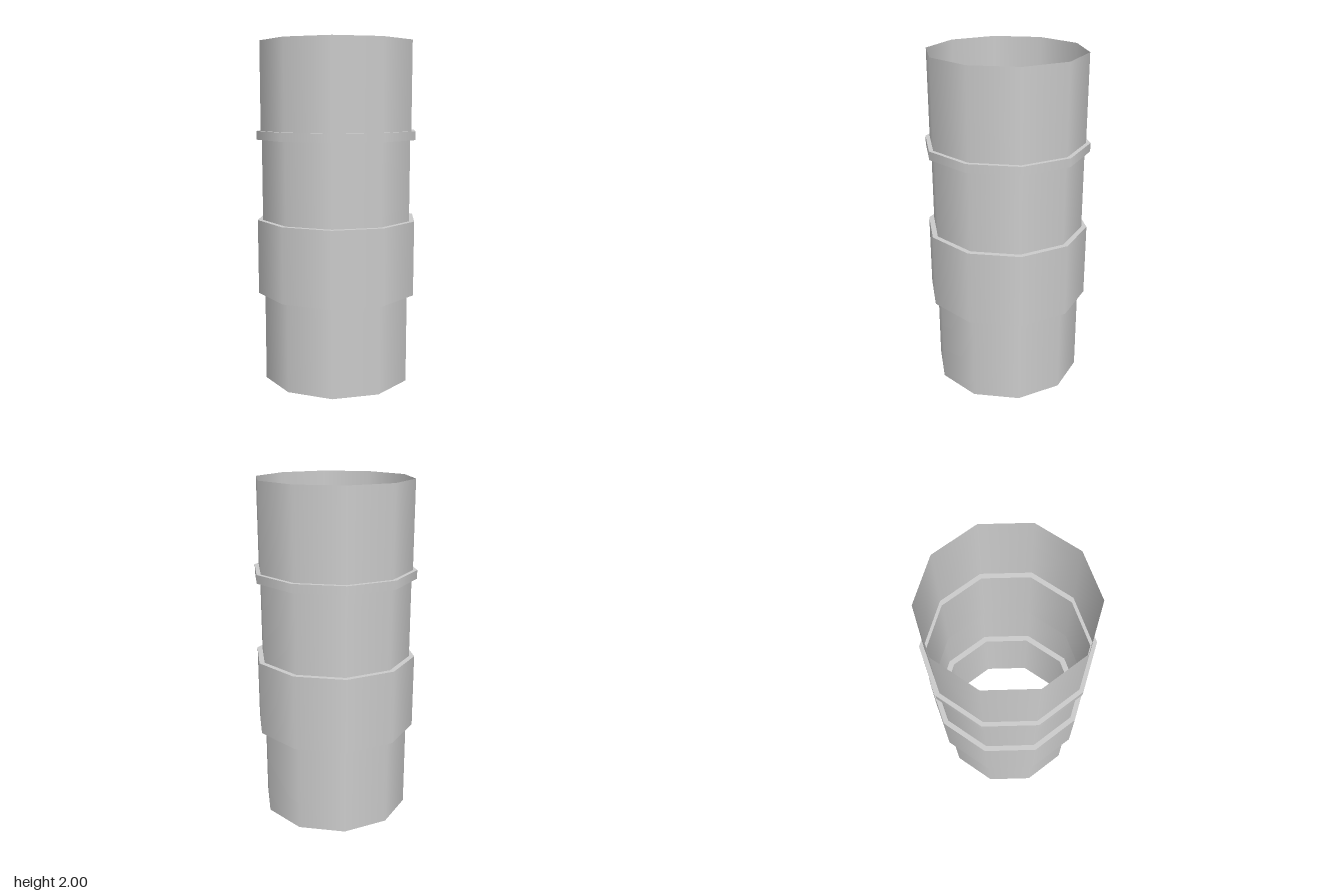
import * as THREE from 'three';

const SIDES = 10;

export function createModel() {
  const model = new THREE.Group();
  model.name = 'bandedPipe';
  const material = new THREE.MeshStandardMaterial({ color: 0xcccccc, side: THREE.DoubleSide });

  // One straight strip of the profile, turned about y: smooth around, sharp at its ends
  function addStrip(name, r0, y0, r1, y1) {
    const profile = [new THREE.Vector2(r0, y0), new THREE.Vector2(r1, y1)];
    const geometry = new THREE.LatheGeometry(profile, SIDES, Math.PI / 2);
    const mesh = new THREE.Mesh(geometry, material);
    mesh.name = name;
    model.add(mesh);
  }

  // Walls from bottom to top: name, radius, lower and upper height
  const walls = [
    ['lowerTube', 0.442, 0, 0.53],
    ['wideCollar', 0.48, 0.53, 0.97],
    ['middleTube', 0.449, 0.97, 1.44],
    ['narrowRing', 0.48, 1.44, 1.49],
    ['upperTube', 0.455, 1.49, 2],
  ];

  walls.forEach(([name, r, y0, y1], i) => {
    addStrip(name, r, y0, r, y1);
    // Flat ledge joining this wall to the next one up
    const next = walls[i + 1];
    if (next) addStrip(name + 'Ledge', r, y1, next[1], y1);
  });

  return model;
}
